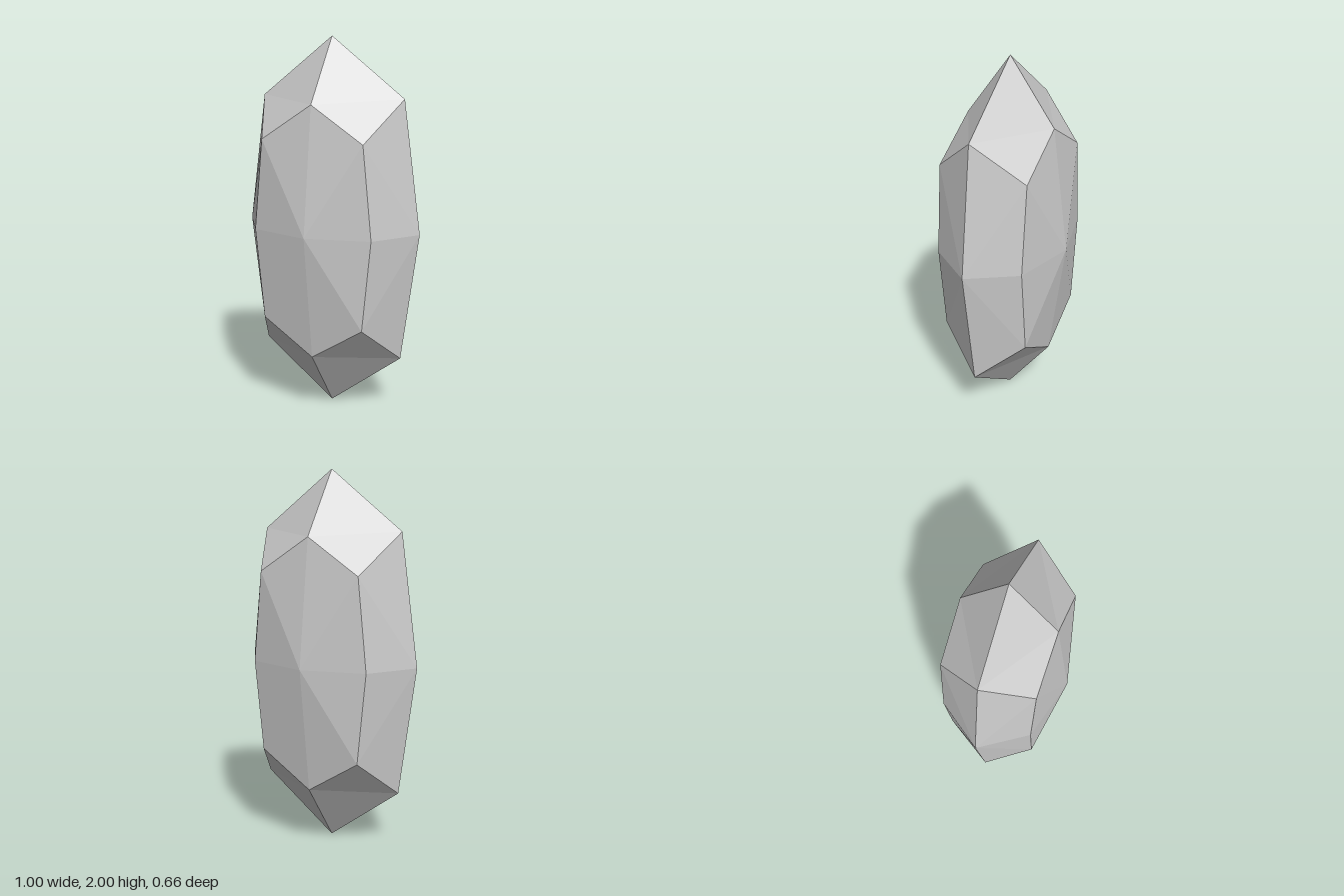
import * as THREE from 'three';

// One eighth of the stone, mirrored into all octants (origin at the stone's centre)
const X = [0.5, 0, 0], Y = [0, 1, 0], Z = [0, 0, 0.332];
const XY = [0.405, 0.69, 0], YZ = [0, 0.665, 0.245], XZ = [0.333, 0, 0.245];
const C = [0.285, 0.48, 0.245];

const facets = [
  [Z, XZ, C], [Z, C, YZ],     // broad front and back faces
  [X, XY, C], [X, C, XZ],     // narrow side faces
  [Y, YZ, XY], [YZ, C, XY],   // pointed ends
];

export function createModel() {
  const points = [];
  for (const sx of [1, -1]) for (const sy of [1, -1]) for (const sz of [1, -1]) {
    const flip = sx * sy * sz < 0;
    for (const [a, b, c] of facets) {
      for (const p of flip ? [a, c, b] : [a, b, c]) {
        points.push(p[0] * sx, p[1] * sy + 1, p[2] * sz);
      }
    }
  }
  const geometry = new THREE.BufferGeometry();
  geometry.setAttribute('position', new THREE.Float32BufferAttribute(points, 3));
  geometry.computeVertexNormals();

  const material = new THREE.MeshStandardMaterial({ color: 0xcccccc, flatShading: true });
  const gem = new THREE.Mesh(geometry, material);
  gem.name = 'gemstone';

  const group = new THREE.Group();
  group.name = 'facetedGem';
  group.add(gem);
  return group;
}
